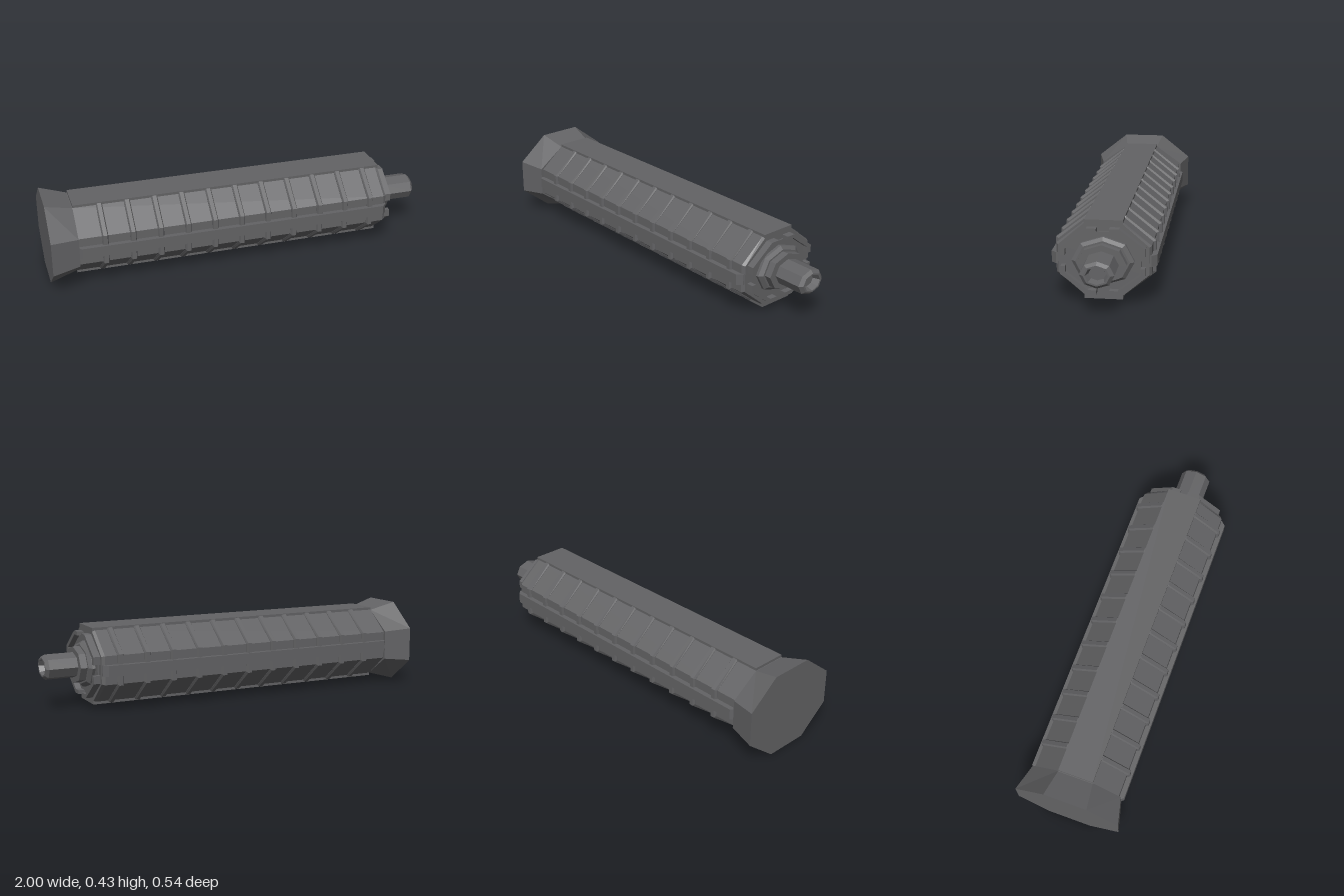
import * as THREE from 'three';

const CY = 0.217; // height of the long axis

// Loft of convex rings along x. Each station is [x, ring], a ring being [y, z] points.
function loft(stations) {
  const pos = [];
  const tri = (...pts) => pts.forEach((p) => pos.push(...p));
  const rings = stations.map(([x, ring]) => ring.map(([y, z]) => [x, y, z]));
  const n = rings[0].length;
  for (let s = 0; s < rings.length - 1; s++) {
    const A = rings[s], B = rings[s + 1];
    for (let i = 0; i < n; i++) {
      const j = (i + 1) % n;
      tri(A[i], A[j], B[j]);
      tri(A[i], B[j], B[i]);
    }
  }
  const first = rings[0], last = rings[rings.length - 1];
  for (let i = 1; i < n - 1; i++) {
    tri(first[0], first[i + 1], first[i]);
    tri(last[0], last[i], last[i + 1]);
  }
  const g = new THREE.BufferGeometry();
  g.setAttribute('position', new THREE.Float32BufferAttribute(pos, 3));
  g.computeVertexNormals();
  return g;
}

// Flat-topped octagon: half height, half depth, and where the corners are cut
const cutOct = (hy, hz, cy, cz) => [
  [-cy, -hz], [cy, -hz], [hy, -cz], [hy, cz],
  [cy, hz], [-cy, hz], [-hy, cz], [-hy, -cz],
];

// Squashed octagon with a corner pointing up
const pointOct = (hz, hy = hz * 0.79) => Array.from({ length: 8 }, (_, i) => {
  const a = (i * Math.PI) / 4;
  return [Math.sin(a) * hy, -Math.cos(a) * hz];
});

const rect = (hy, hz) => [[-hy, -hz], [hy, -hz], [hy, hz], [-hy, hz]];

export function createModel() {
  const group = new THREE.Group();
  const gray = new THREE.MeshStandardMaterial({ color: 0x636365 });
  gray.name = 'dark gray';

  const add = (name, geometry) => {
    const mesh = new THREE.Mesh(geometry, gray);
    mesh.name = name;
    mesh.position.y = CY;
    group.add(mesh);
    return mesh;
  };

  // Flared pommel
  add('flaredBase', loft([
    [-1, cutOct(0.215, 0.27, 0.088, 0.111)],
    [-0.86, cutOct(0.177, 0.234, 0.075, 0.09)],
  ]));

  // Main octagonal grip
  add('gripBody', loft([
    [-0.87, cutOct(0.178, 0.222, 0.071, 0.09)],
    [0.755, cutOct(0.178, 0.222, 0.071, 0.09)],
    [0.77, cutOct(0.174, 0.212, 0.067, 0.088)],
  ]));

  // Smooth slabs along the top and bottom
  for (const [name, side] of [['topSlab', 1], ['bottomSlab', -1]]) {
    add(name, new THREE.BoxGeometry(1.63, 0.03, 0.18).translate(-0.045, side * 0.176, 0));
  }

  // Chamfered ribs around the grip
  const ribLow = cutOct(0.18, 0.224, 0.072, 0.091);
  const ribHigh = cutOct(0.188, 0.236, 0.077, 0.094);
  for (let i = 0; i < 11; i++) {
    const x = -0.728 + i * 0.1405;
    add('rib', loft([
      [x - 0.016, ribLow], [x - 0.01, ribHigh], [x + 0.01, ribHigh], [x + 0.016, ribLow],
    ]));
  }

  // Side bars with sloped ends
  add('sideBars', loft([
    [-0.865, rect(0.027, 0.228)], [-0.848, rect(0.027, 0.247)],
    [0.745, rect(0.027, 0.247)], [0.768, rect(0.027, 0.222)],
  ]));

  // End plate and four corner prongs
  add('endPlate', loft([
    [0.76, cutOct(0.138, 0.175, 0.06, 0.07)],
    [0.776, cutOct(0.138, 0.175, 0.06, 0.07)],
  ]));
  const prong = [
    [0.03, 0.158], [0.076, 0.158], [0.197, 0.066], [0.197, 0.027],
    [0.175, 0.027], [0.175, 0.058], [0.07, 0.139], [0.03, 0.139],
  ];
  for (const sz of [1, -1]) {
    for (const sy of [1, -1]) {
      const shape = new THREE.Shape(prong.map(([z, y]) => new THREE.Vector2(z * sz, y * sy)));
      const g = new THREE.ExtrudeGeometry(shape, { depth: 0.045, bevelEnabled: false });
      add('cornerProng', g.rotateY(Math.PI / 2).translate(0.76, 0, 0));
    }
  }

  // Stepped collar
  add('collar', loft([
    [0.76, pointOct(0.147)], [0.79, pointOct(0.147)], [0.805, pointOct(0.127)],
    [0.805, pointOct(0.116)], [0.84, pointOct(0.116)],
  ]));

  // Shaft with a chamfered, hollow tip
  add('shaft', loft([
    [0.83, pointOct(0.08)], [0.985, pointOct(0.08)], [1, pointOct(0.062)],
    [1, pointOct(0.052)], [0.965, pointOct(0.04)],
  ]));

  return group;
}
